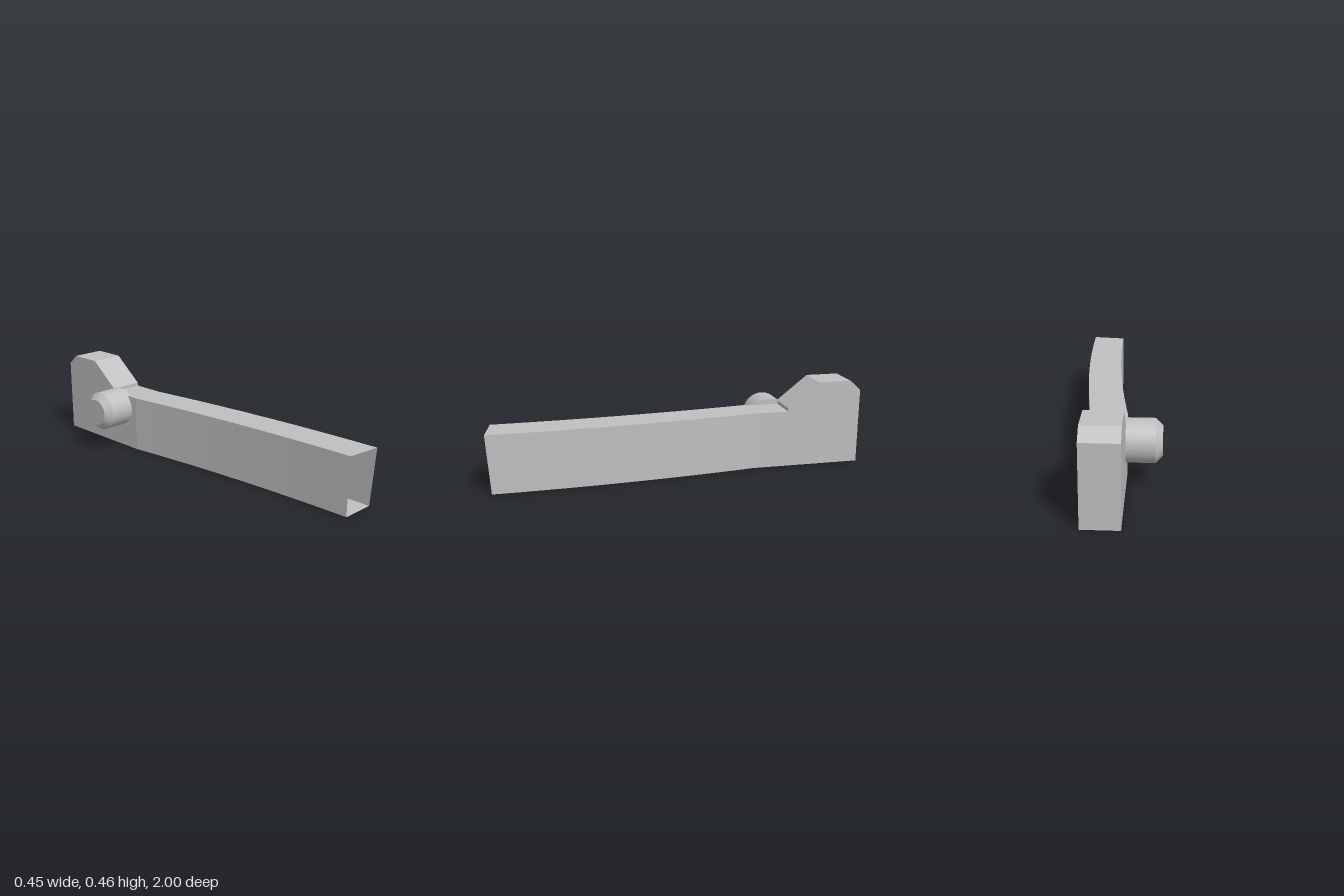
import * as THREE from 'three';

const HEIGHT = 0.307;
const HALF_WIDTH = 0.0915;

// Sideways drift of the arm: straight at the back, then a gentle arc
const centreX = (z) => 0.132 - 0.0481 * (1 - Math.max(z, -0.4)) ** 2;

// Hollow arm with a raised stop at the back, open at the front end
function armGeometry() {
  // [z, height] stations from back to front
  const stations = [[-1, 0.405], [-0.94, 0.46], [-0.76, 0.46], [-0.59, 0.325], [-0.59, HEIGHT]];
  const steps = 12;
  for (let i = 0; i <= steps; i++) stations.push([-0.4 + (1.38 * i) / steps, HEIGHT]);

  const rings = stations.map(([z, h]) => {
    const l = centreX(z) - HALF_WIDTH;
    const r = centreX(z) + HALF_WIDTH;
    return [[l, 0, z], [r, 0, z], [r, h, z], [l, h, z]];
  });

  // Slanted mouth, with the roof reaching slightly past the wall
  const mouth = rings[rings.length - 1];
  mouth[0][2] = mouth[3][2] = 0.972;
  mouth[2][2] = 0.998;

  const positions = [];
  const quad = (a, b, c, d) => positions.push(...a, ...b, ...c, ...a, ...c, ...d);
  for (let i = 0; i < rings.length - 1; i++) {
    for (let k = 0; k < 4; k++) {
      const n = (k + 1) % 4;
      quad(rings[i][k], rings[i][n], rings[i + 1][n], rings[i + 1][k]);
    }
  }
  const [lb, rb, rt, lt] = rings[0];
  quad(lb, lt, rt, rb); // back wall

  const geometry = new THREE.BufferGeometry();
  geometry.setAttribute('position', new THREE.Float32BufferAttribute(positions, 3));
  geometry.computeVertexNormals();
  return geometry;
}

export function createModel() {
  const group = new THREE.Group();
  group.name = 'leverArm';

  const grey = new THREE.MeshStandardMaterial({ color: 0xc0c0c0, side: THREE.DoubleSide });
  grey.name = 'grey';

  const arm = new THREE.Mesh(armGeometry(), grey);
  arm.name = 'arm';
  group.add(arm);

  // Round pivot pin on the side, with a bevelled tip
  const pin = new THREE.Group();
  pin.name = 'pivotPin';
  pin.position.set(-0.04, 0.231, -0.545);
  pin.rotation.z = Math.PI / 2;
  const addPinPart = (name, topRadius, from, to) => {
    const mesh = new THREE.Mesh(new THREE.CylinderGeometry(topRadius, 0.107, to - from, 48), grey);
    mesh.name = name;
    mesh.position.y = (from + to) / 2;
    pin.add(mesh);
  };
  addPinPart('pinShaft', 0.107, 0, 0.153);
  addPinPart('pinBevel', 0.073, 0.153, 0.187);
  group.add(pin);

  return group;
}
